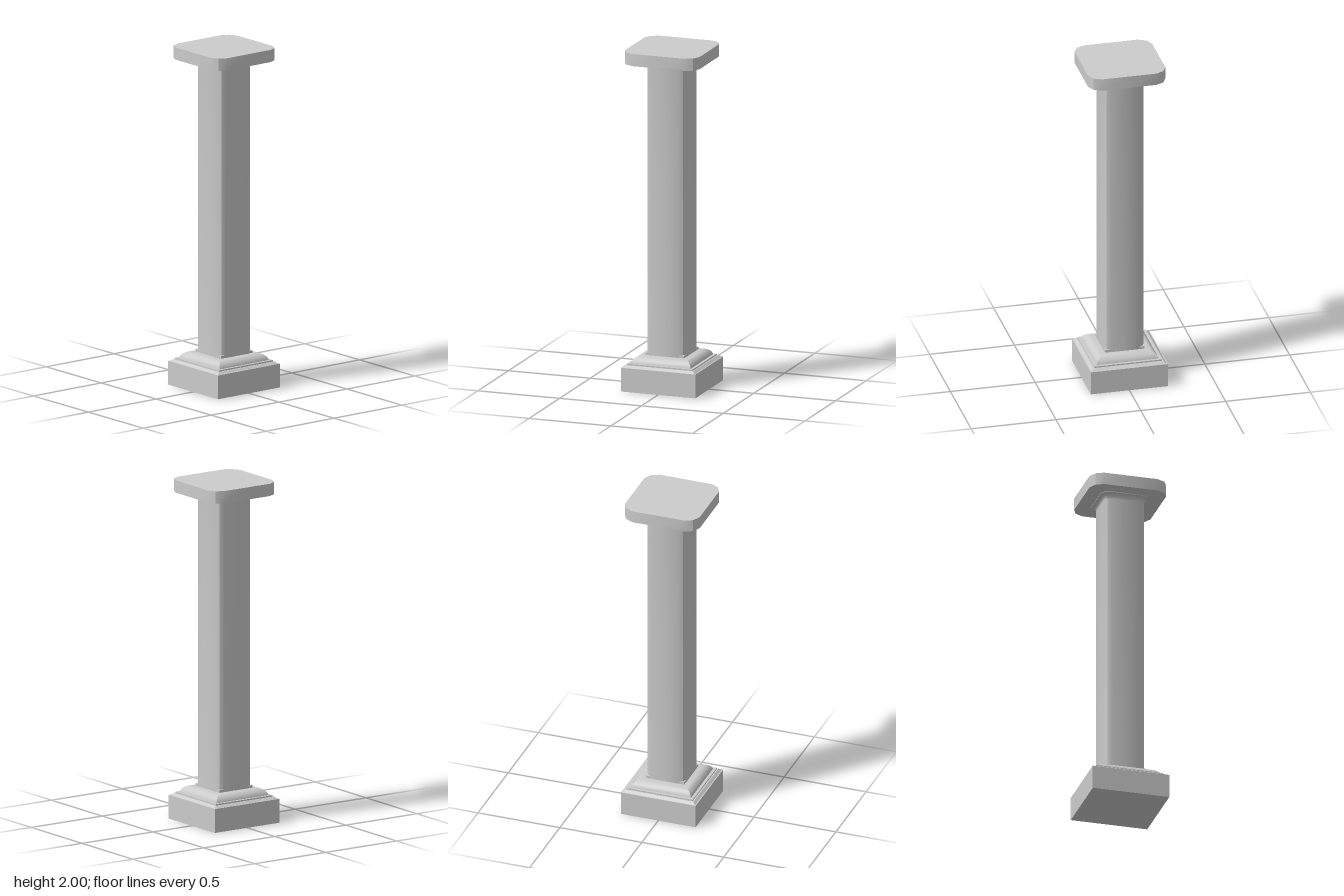
import * as THREE from 'three';
import { toCreasedNormals } from 'three/addons/utils/BufferGeometryUtils.js';

// One quarter of each unit cross-section as [x, z]; the rest follows by rotation
const SQUARE = [[1, 1]];
const CUT_CORNER = [[1, -0.7], [1, 0], [1, 0.7], [0.9, 0.9]];

function fullSection(quarter) {
  const points = [];
  for (let q = 0; q < 4; q++) {
    for (let [x, z] of quarter) {
      for (let k = 0; k < q; k++) [x, z] = [-z, x];
      points.push([x, z]);
    }
  }
  return points;
}

// Closed solid: the section scaled along a profile of [half width, y]
function loft(quarter, profile) {
  const section = fullSection(quarter);
  const n = section.length;
  const pos = [];
  const index = [];
  for (const [s, y] of profile) {
    for (const [x, z] of section) pos.push(x * s, y, z * s);
  }
  const last = (profile.length - 1) * n;
  const bottom = pos.length / 3;
  pos.push(0, profile[0][1], 0, 0, profile[profile.length - 1][1], 0);
  for (let j = 0; j < n; j++) {
    const k = (j + 1) % n;
    for (let r = 0; r < last; r += n) {
      index.push(r + j, r + n + j, r + k, r + k, r + n + j, r + n + k);
    }
    index.push(bottom, j, k, bottom + 1, last + k, last + j);
  }
  const geometry = new THREE.BufferGeometry();
  geometry.setAttribute('position', new THREE.Float32BufferAttribute(pos, 3));
  geometry.setIndex(index);
  return toCreasedNormals(geometry, 0.6);
}

export function createModel() {
  const group = new THREE.Group();
  const material = new THREE.MeshStandardMaterial({ color: 0xcccccc });
  const add = (name, quarter, profile) => {
    const mesh = new THREE.Mesh(loft(quarter, profile), material);
    mesh.name = name;
    group.add(mesh);
  };

  // Square base block
  add('plinth', SQUARE, [[0.228, 0], [0.228, 0.14]]);

  // Stepped moulding with a rounded upper edge
  add('baseMoulding', SQUARE, [
    [0.222, 0.14], [0.207, 0.152], [0.2, 0.152], [0.2, 0.16], [0.183, 0.16],
    [0.181, 0.168], [0.174, 0.18], [0.163, 0.19], [0.15, 0.197], [0.135, 0.2],
  ]);

  // Thin square slab under the shaft
  add('shaftFooting', SQUARE, [[0.117, 0.2], [0.117, 0.215]]);

  // Shaft with a concave flare beneath the top slab
  const shaft = [[0.118, 0.2], [0.118, 1.895]];
  for (let i = 1; i <= 6; i++) {
    const a = (i / 6) * Math.PI / 2;
    shaft.push([0.118 + 0.027 * (1 - Math.cos(a)), 1.895 + 0.03 * Math.sin(a)]);
  }
  shaft.push([0.145, 1.93]);
  add('shaft', CUT_CORNER, shaft);

  // Top slab with clipped corners
  add('topSlab', CUT_CORNER, [[0.228, 1.928], [0.228, 2]]);

  return group;
}
